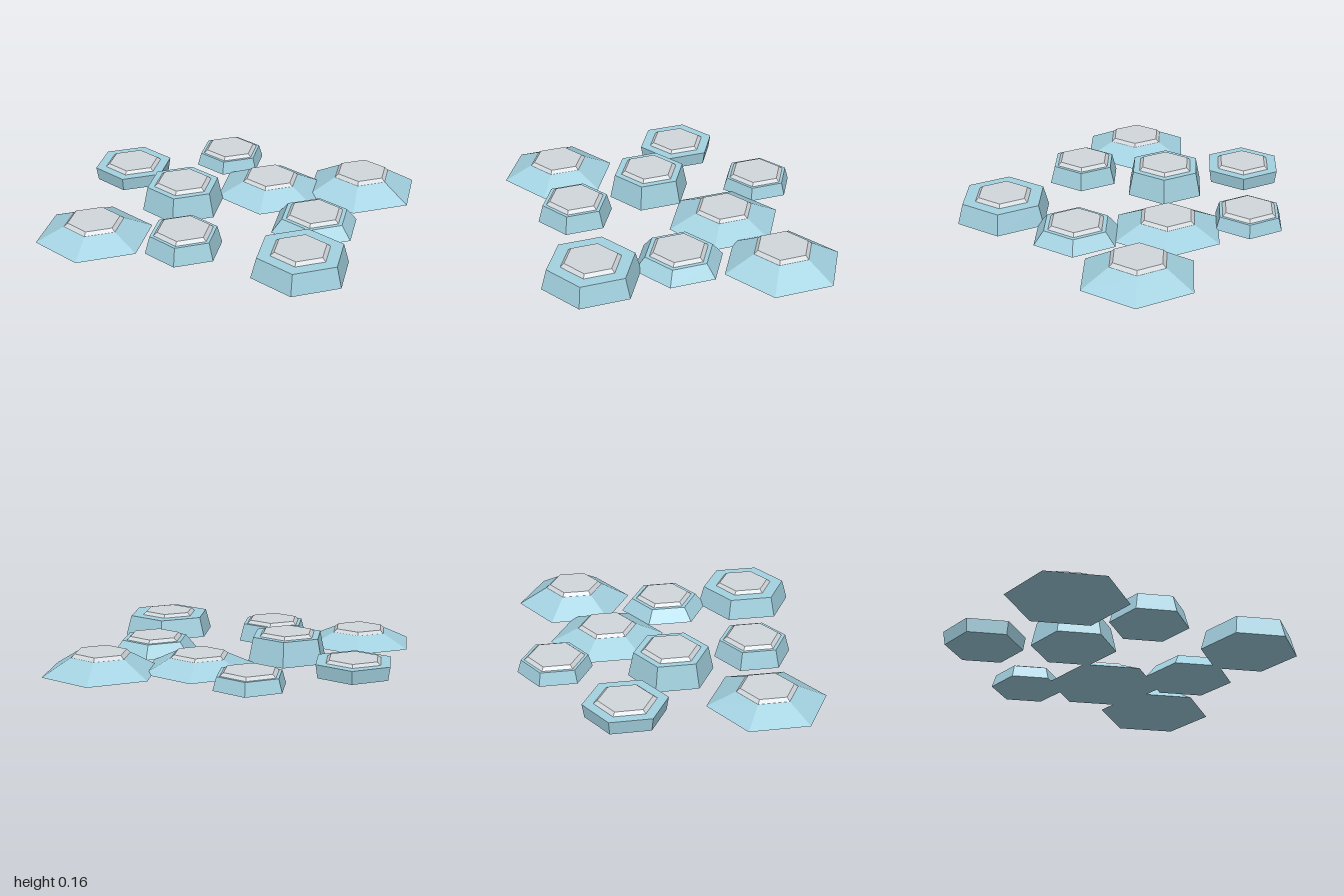
import * as THREE from 'three';

// One entry per stone: x, z, base radius, shoulder radius, shoulder height, overall height
const STONES = [
  [-0.72, -0.38, 0.325, 0.17, 0.072, 0.09],
  [-0.07, -0.754, 0.215, 0.227, 0.076, 0.092],
  [0.465, -0.46, 0.207, 0.185, 0.073, 0.09],
  [-0.142, -0.267, 0.237, 0.207, 0.138, 0.156],
  [0.337, -0.022, 0.323, 0.17, 0.073, 0.09],
  [-0.497, 0.087, 0.216, 0.188, 0.1, 0.118],
  [0.711, 0.357, 0.33, 0.17, 0.092, 0.112],
  [0.166, 0.45, 0.253, 0.192, 0.073, 0.091],
  [-0.254, 0.698, 0.274, 0.242, 0.114, 0.132],
];
const CAP_BASE = 0.167, CAP_TOP = 0.146;

// Tapered six-sided block with points along z
function hexBlock(name, topRadius, baseRadius, y0, y1, material) {
  const geometry = new THREE.CylinderGeometry(topRadius, baseRadius, y1 - y0, 6).toNonIndexed();
  geometry.computeVertexNormals();
  const mesh = new THREE.Mesh(geometry, material);
  mesh.name = name;
  mesh.position.y = (y0 + y1) / 2;
  return mesh;
}

export function createModel() {
  const blue = new THREE.MeshStandardMaterial({ color: 0xa3d1e0, flatShading: true });
  blue.name = 'pale blue';
  const grey = new THREE.MeshStandardMaterial({ color: 0xd2d7db, flatShading: true });
  grey.name = 'light grey';

  const model = new THREE.Group();
  model.name = 'hexagonStones';
  STONES.forEach(([x, z, base, shoulder, bodyHeight, height], i) => {
    const stone = new THREE.Group();
    stone.name = `stone${i + 1}`;
    stone.position.set(x, 0, z);
    stone.add(
      hexBlock('stoneBody', shoulder, base, 0, bodyHeight, blue),
      hexBlock('stoneCap', CAP_TOP, CAP_BASE, bodyHeight, height, grey),
    );
    model.add(stone);
  });
  return model;
}
